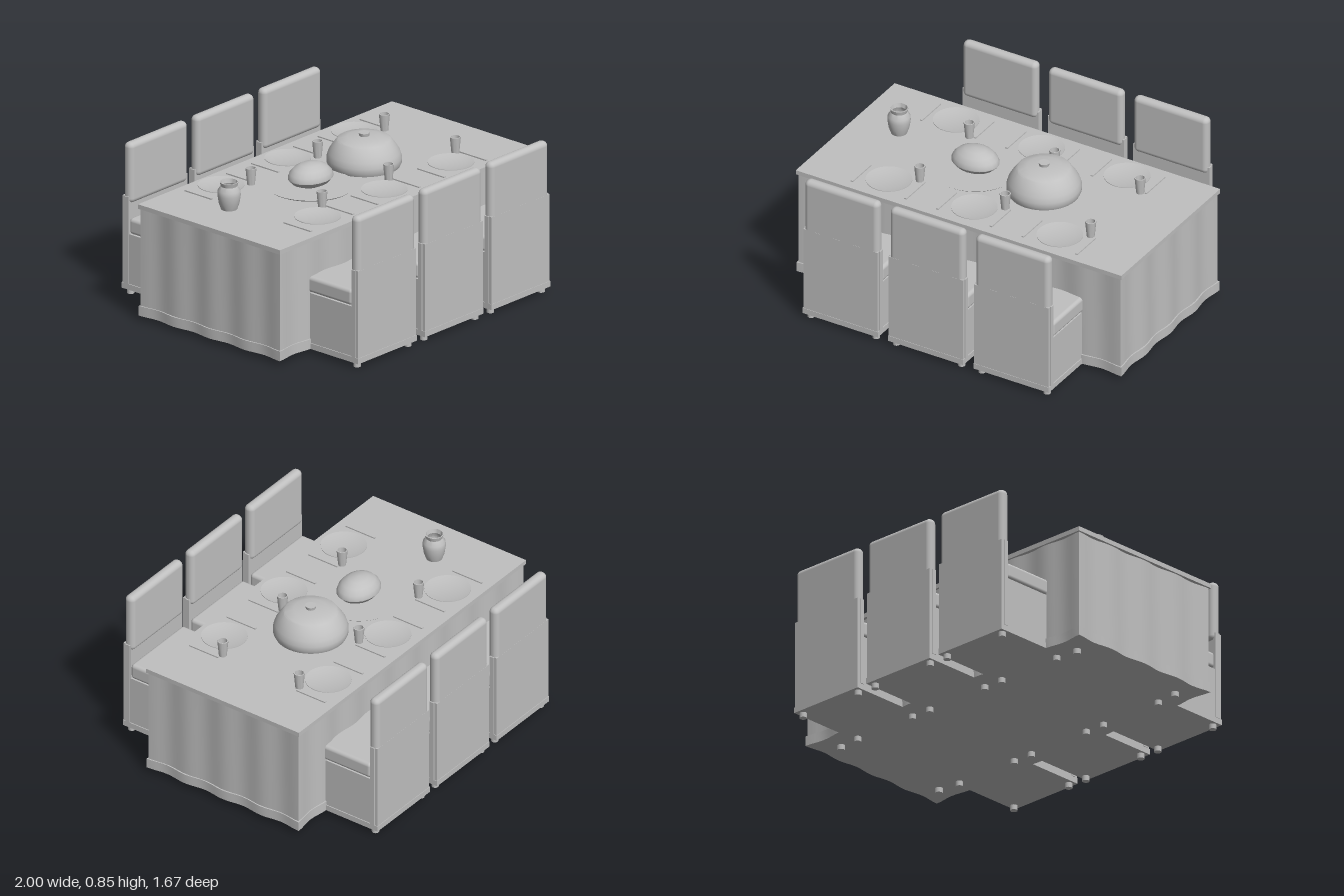
import * as THREE from 'three';
import { toCreasedNormals } from 'three/addons/utils/BufferGeometryUtils.js';
import { RoundedBoxGeometry } from 'three/addons/geometries/RoundedBoxGeometry.js';

const grey = new THREE.MeshStandardMaterial({ color: 0xc0c0c0, side: THREE.DoubleSide });
grey.name = 'plain grey';

function add(parent, name, geometry, x = 0, y = 0, z = 0) {
  const mesh = new THREE.Mesh(geometry, grey);
  mesh.name = name;
  mesh.position.set(x, y, z);
  parent.add(mesh);
  return mesh;
}

const box = (w, h, d) => new THREE.BoxGeometry(w, h, d);
const lathe = (points, sides) => toCreasedNormals(
  new THREE.LatheGeometry(points.map(([r, y]) => new THREE.Vector2(r, y)), sides), 0.6);

// Rectangular curtain whose four sides ripple gently
function rippledCloth(hx, hz, height, amp) {
  const corners = [[-hx, -hz], [hx, -hz], [hx, hz], [-hx, hz]];
  const points = [];
  corners.forEach(([ax, az], i) => {
    const [bx, bz] = corners[(i + 1) % 4];
    const length = Math.hypot(bx - ax, bz - az);
    const steps = Math.round(length * 32);
    const nx = (bz - az) / length, nz = -(bx - ax) / length;
    for (let s = 0; s < steps; s++) {
      const t = s / steps;
      const wave = -amp * (0.5 - 0.5 * Math.cos(t * Math.round(length * 4) * Math.PI * 2));
      points.push(new THREE.Vector2(ax + (bx - ax) * t + nx * wave, az + (bz - az) * t + nz * wave));
    }
  });
  const geometry = new THREE.ExtrudeGeometry(new THREE.Shape(points), { depth: height, bevelEnabled: false });
  return toCreasedNormals(geometry.rotateX(-Math.PI / 2), 0.7);
}

function makeTable() {
  const table = new THREE.Group();
  table.name = 'table';
  add(table, 'tableTop', box(2, 0.025, 1), 0, 0.6425, 0);
  add(table, 'tablecloth', rippledCloth(0.99, 0.49, 0.602, 0.012), 0, 0.03, 0);
  add(table, 'clothHem', rippledCloth(0.998, 0.497, 0.055, 0.014), 0, 0.028, 0);
  for (const x of [-0.86, 0.86]) for (const z of [-0.37, 0.37])
    add(table, 'tableFoot', new THREE.CylinderGeometry(0.022, 0.022, 0.03, 12), x, 0.015, z);
  return table;
}

// Chair with its back towards +z
function makeChair() {
  const chair = new THREE.Group();
  chair.name = 'chair';
  add(chair, 'seatSkirt', box(0.452, 0.31, 0.44), 0, 0.185, 0.58);
  add(chair, 'skirtHem', box(0.462, 0.032, 0.47), 0, 0.044, 0.598);
  add(chair, 'seatCushion', new RoundedBoxGeometry(0.46, 0.09, 0.42, 3, 0.02), 0, 0.387, 0.575);
  add(chair, 'backCover', box(0.456, 0.52, 0.045), 0, 0.29, 0.808);
  add(chair, 'backPad', new RoundedBoxGeometry(0.455, 0.34, 0.06, 4, 0.028), 0, 0.68, 0.8);
  for (const side of [-1, 1]) {
    add(chair, 'backPiping', box(0.012, 0.49, 0.026), side * 0.228, 0.305, 0.8);
    for (const z of [0.385, 0.797])
      add(chair, 'chairFoot', new THREE.CylinderGeometry(0.02, 0.02, 0.03, 12), side * 0.2, 0.015, z);
  }
  return chair;
}

// Plate, tumbler and cutlery for one seat
function makeSetting(side) {
  const setting = new THREE.Group();
  setting.name = 'placeSetting';
  add(setting, 'plate', lathe([[0, 0], [0.075, 0], [0.123, 0.012], [0.123, 0.015], [0.08, 0.006], [0, 0.004]], 40),
    0, 0.656, side * 0.34);
  add(setting, 'tumbler', lathe([[0, 0], [0.021, 0], [0.03, 0.093], [0.024, 0.093], [0.018, 0.012], [0, 0.012]], 12),
    0.135, 0.656, side * 0.25);
  for (const x of [-0.165, 0.165])
    add(setting, 'cutlery', box(0.014, 0.007, 0.19), x, 0.6585, side * 0.35);
  return setting;
}

export function createModel() {
  const model = new THREE.Group();
  model.name = 'diningSet';
  model.add(makeTable());

  for (const side of [-1, 1]) for (const x of [-0.525, 0, 0.525]) {
    const chair = makeChair();
    chair.position.x = x;
    if (side < 0) chair.rotation.y = Math.PI;
    model.add(chair);
    const setting = makeSetting(side);
    setting.position.x = x;
    model.add(setting);
  }

  // Serving dishes
  add(model, 'servingPlatter', new THREE.CylinderGeometry(0.235, 0.225, 0.008, 48), -0.2, 0.659, 0);
  const dish = add(model, 'ovalDish', lathe([[0, 0], [0.06, 0], [0.11, 0.02], [0.134, 0.045], [0.134, 0.052],
    [0.125, 0.075], [0.1, 0.1], [0.06, 0.119], [0, 0.127]], 20), -0.2, 0.663, 0);
  dish.scale.z = 0.81;
  add(model, 'tureen', lathe([[0, 0], [0.19, 0], [0.199, 0.02], [0.199, 0.045], [0.19, 0.075], [0.172, 0.105],
    [0.145, 0.142], [0.138, 0.147], [0.09, 0.158], [0, 0.164]], 40), 0.222, 0.656, 0);
  add(model, 'tureenKnob', new THREE.CylinderGeometry(0.03, 0.026, 0.02, 20), 0.222, 0.826, 0);

  // Vase
  add(model, 'vase', lathe([[0, 0], [0.043, 0], [0.055, 0.035], [0.062, 0.08], [0.06, 0.105], [0.044, 0.13],
    [0.05, 0.153], [0.044, 0.153], [0.038, 0.13], [0.05, 0.1], [0.035, 0.02], [0, 0.02]], 28), -0.73, 0.656, -0.1);
  return model;
}
